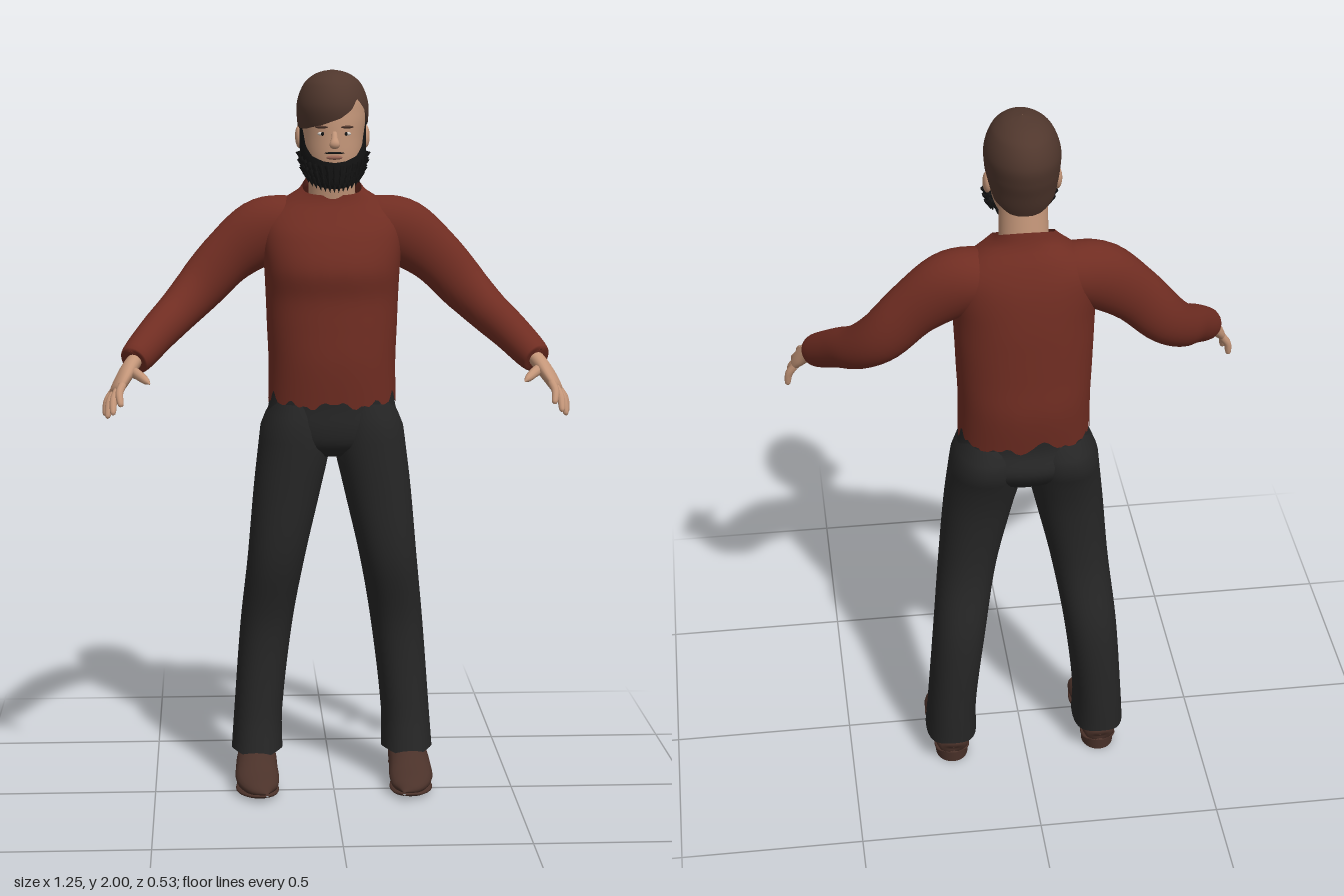
import * as THREE from 'three';

const mat = (name, color, open) => {
  const m = new THREE.MeshStandardMaterial({ color });
  m.name = name;
  if (open) m.side = THREE.DoubleSide;
  return m;
};
const V = (x, y, z) => new THREE.Vector3(x, y, z);

// Smooth interpolation of rows whose first entry is the key
function sample(rows, q) {
  const n = rows.length - 1;
  let k = 0;
  while (k < n - 1 && q > rows[k + 1][0]) k++;
  const h = rows[k + 1][0] - rows[k][0];
  const t = Math.min(1, Math.max(0, (q - rows[k][0]) / h));
  const slope = (i, c) => {
    const a = rows[Math.max(0, i - 1)], b = rows[Math.min(n, i + 1)];
    return (b[c] - a[c]) / (b[0] - a[0]);
  };
  return rows[0].map((_, c) => {
    const p = rows[k][c], d = rows[k + 1][c], t2 = t * t, t3 = t2 * t;
    return p * (2 * t3 - 3 * t2 + 1) + d * (3 * t2 - 2 * t3)
      + h * (slope(k, c) * (t3 - 2 * t2 + t) + slope(k + 1, c) * (t3 - t2));
  });
}

// Piecewise linear table of [degrees, height]
function table(list, deg) {
  const d = ((deg % 360) + 360) % 360;
  let k = 0;
  while (k < list.length - 2 && d > list[k + 1][0]) k++;
  const [a, b] = [list[k], list[k + 1]];
  return THREE.MathUtils.mapLinear(d, a[0], b[0], a[1], b[1]);
}

function grid(n, m, closed, point) {
  const pos = [], idx = [], w = closed ? m : m + 1;
  for (let i = 0; i <= n; i++) for (let j = 0; j < w; j++) pos.push(...point(i / n, j / m).toArray());
  for (let i = 0; i < n; i++) for (let j = 0; j < m; j++) {
    const j2 = (j + 1) % w, a = i * w + j, b = a + w, c = i * w + j2, d = c + w;
    idx.push(a, b, c, b, d, c);
  }
  const g = new THREE.BufferGeometry();
  g.setAttribute('position', new THREE.Float32BufferAttribute(pos, 3));
  g.setIndex(idx);
  g.computeVertexNormals();
  return g;
}

// Upright shell: rows [y, x, z, rx, rz]; lower and upper edges vary with the angle
function shell(rows, { lo, hi, from = 0, to = 360, n = 28, m = 48, power = 2, s = 1 } = {}) {
  const first = rows[0][0], last = rows[rows.length - 1][0];
  return grid(n, m, to - from === 360, (t, u) => {
    const deg = from + (to - from) * u, a = deg * Math.PI / 180;
    const y = THREE.MathUtils.lerp(lo ? lo(deg) : first, hi ? hi(deg) : last, t);
    const [, x, z, rx, rz] = sample(rows, y);
    const bend = v => Math.sign(v) * Math.abs(v) ** (2 / power);
    return V(s * x + rx * bend(Math.cos(a)), y, z + rz * bend(Math.sin(a)));
  });
}

// Limb along a path: points [x, y, z, r across, r along ref]
function limb(points, s = 1, ref = [0, 1, 0], n = 24, m = 20) {
  const rows = points.map((p, i) => [i, p[0] * s, ...p.slice(1)]), end = rows.length - 1;
  const at = q => V(...sample(rows, q).slice(1, 4));
  return grid(n, m, true, (t, u) => {
    const q = t * end, r = sample(rows, q), a = u * Math.PI * 2;
    const dir = at(Math.min(end, q + 0.05)).sub(at(Math.max(0, q - 0.05))).normalize();
    const across = dir.clone().cross(V(ref[0] * s, ref[1], ref[2])).normalize();
    const along = across.clone().cross(dir);
    return at(q).addScaledVector(across, r[4] * Math.cos(a)).addScaledVector(along, r[5] * Math.sin(a));
  });
}

export function createModel() {
  const root = new THREE.Group();
  const shirt = mat('rust shirt', 0x702d22, true), cloth = mat('charcoal cloth', 0x262626, true);
  const skin = mat('skin', 0xc49679), hair = mat('brown hair', 0x50372d, true);
  const beard = mat('black beard', 0x151515, true), leather = mat('brown leather', 0x4b322a);
  const white = mat('eye white', 0xd6cec6), lips = mat('lips', 0x9a6656);
  const add = (name, geo, m, parent = root) => {
    const mesh = new THREE.Mesh(geo, m);
    mesh.name = name;
    parent.add(mesh);
    return mesh;
  };
  const ball = (name, m, p, r) => {
    const b = add(name, new THREE.SphereGeometry(1, 20, 14), m);
    b.position.set(...p);
    b.scale.set(...r);
    return b;
  };

  // Shirt body with ragged hem and a collar higher at the back
  const notch = (d, at) => Math.max(0, 1 - Math.abs(((d - at + 540) % 360) - 180) / 9) * 0.045;
  add('shirtBody', shell([
    [1.06, 0, -0.115, 0.178, 0.125], [1.2, 0, -0.12, 0.176, 0.143], [1.3, 0, -0.12, 0.18, 0.142],
    [1.38, 0, -0.12, 0.183, 0.141], [1.46, 0, -0.114, 0.187, 0.145], [1.55, 0, -0.125, 0.195, 0.125],
    [1.6, 0, -0.135, 0.185, 0.103], [1.65, 0, -0.14, 0.13, 0.077], [1.68, 0, -0.13, 0.085, 0.068],
    [1.73, 0, -0.125, 0.072, 0.06]], {
    lo: d => 1.09 + 0.008 * Math.sin(d * 0.157) + 0.006 * Math.sin(d * 0.4014)
      + [25, 155, 195, 262, 345].reduce((sum, at) => sum + notch(d, at), 0),
    hi: d => 1.69 - 0.03 * Math.sin(d * Math.PI / 180), m: 90, n: 36, power: 2.25 }), shirt);

  // Trousers
  add('trouserSeat', shell([
    [0.94, 0, -0.12, 0.08, 0.07], [0.97, 0, -0.12, 0.16, 0.108], [1.02, 0, -0.128, 0.188, 0.13],
    [1.08, 0, -0.12, 0.176, 0.122], [1.16, 0, -0.12, 0.168, 0.128]], { n: 16, power: 2.2 }), cloth);
  for (const s of [1, -1]) {
    const side = s > 0 ? 'left' : 'right';
    add(side + 'TrouserLeg', shell([
      [0.09, 0.213, -0.13, 0.072, 0.102], [0.2, 0.209, -0.142, 0.068, 0.094],
      [0.45, 0.185, -0.145, 0.073, 0.09], [0.65, 0.157, -0.105, 0.08, 0.095],
      [0.85, 0.125, -0.105, 0.094, 0.105], [0.97, 0.105, -0.118, 0.1, 0.122],
      [1.03, 0.102, -0.129, 0.094, 0.133], [1.09, 0.095, -0.12, 0.07, 0.11]],
      { s, power: 2.2, lo: d => 0.09 + 0.006 * Math.sin(d * Math.PI / 60) }), cloth);

    // Shoe: upper, sole and heel
    add(side + 'ShoeUpper', limb([
      [0.213, 0.06, -0.208, 0.002, 0.002], [0.213, 0.063, -0.195, 0.035, 0.042],
      [0.214, 0.07, -0.12, 0.045, 0.054], [0.216, 0.06, -0.04, 0.04, 0.058],
      [0.214, 0.041, 0.03, 0.03, 0.06], [0.202, 0.03, 0.085, 0.02, 0.043],
      [0.19, 0.024, 0.115, 0.002, 0.004]], s, [1, 0, 0]), leather);
    add(side + 'ShoeSole', limb([
      [0.213, 0.032, -0.2, 0.006, 0.01], [0.213, 0.032, -0.17, 0.01, 0.048],
      [0.215, 0.025, -0.08, 0.01, 0.046], [0.215, 0.012, 0.02, 0.01, 0.06],
      [0.203, 0.013, 0.085, 0.009, 0.042], [0.19, 0.017, 0.115, 0.002, 0.004]], s, [1, 0, 0]), leather);
    const heel = add(side + 'ShoeHeel', new THREE.CylinderGeometry(1, 0.94, 0.035, 28), leather);
    heel.position.set(0.213 * s, 0.0175, -0.145);
    heel.scale.set(0.048, 1, 0.057);

    // Sleeve from the shoulder to the cuff
    add(side + 'Sleeve', limb([
      [0.07, 1.57, -0.145, 0.07, 0.07], [0.13, 1.572, -0.142, 0.077, 0.085],
      [0.2, 1.552, -0.137, 0.072, 0.092], [0.29, 1.486, -0.128, 0.058, 0.077],
      [0.37, 1.4, -0.11, 0.056, 0.069], [0.43, 1.34, -0.06, 0.054, 0.06],
      [0.48, 1.295, 0.015, 0.05, 0.054], [0.538, 1.236, 0.105, 0.042, 0.044],
      [0.541, 1.233, 0.11, 0.02, 0.02]], s, [0, 1, 0], 36, 28), shirt);

    // Hand: palm, four fingers and thumb
    const hand = new THREE.Group();
    hand.name = side + 'Hand';
    root.add(hand);
    add('palm', limb([
      [0.525, 1.25, 0.085, 0.02, 0.024], [0.55, 1.22, 0.13, 0.021, 0.028],
      [0.57, 1.19, 0.165, 0.019, 0.038], [0.586, 1.163, 0.19, 0.014, 0.037],
      [0.59, 1.156, 0.196, 0.002, 0.025]], s, [-0.4, 0.36, 0.85]), skin, hand);
    const tips = [[0.572, 1.13, 0.262], [0.594, 1.107, 0.253], [0.61, 1.092, 0.216], [0.618, 1.092, 0.17]];
    tips.forEach(([x, y, z], i) => {
      const k = 0.03 - i * 0.02, b = [0.582 - 0.4 * k, 1.17 + 0.36 * k, 0.184 + 0.85 * k];
      const mid = [(b[0] + x) / 2 + 0.006, (b[1] + y) / 2 + 0.006, (b[2] + z) / 2];
      const near = [x, y, z].map((v, c) => v + (mid[c] - v) * 0.2);
      add('finger', limb([[...b, 0.011, 0.011], [...mid, 0.0105, 0.0105], [...near, 0.008, 0.008],
        [x, y, z, 0.001, 0.001]], s, [-0.4, 0.36, 0.85], 14, 10), skin, hand);
    });
    add('thumb', limb([[0.55, 1.208, 0.135, 0.015, 0.015], [0.53, 1.204, 0.175, 0.014, 0.014],
      [0.508, 1.192, 0.208, 0.01, 0.01], [0.496, 1.184, 0.222, 0.001, 0.001]], s, [0, 1, 0], 14, 10), skin, hand);

    // Ear, eye and brow
    ball(side + 'Ear', skin, [0.09 * s, 1.82, -0.088], [0.012, 0.032, 0.02]).rotation.x = -0.2;
    ball(side + 'Eye', white, [0.032 * s, 1.831, 0.016], [0.013, 0.006, 0.008]);
    ball(side + 'Iris', beard, [0.031 * s, 1.831, 0.022], [0.005, 0.0055, 0.004]);
    ball(side + 'Brow', hair, [0.034 * s, 1.849, 0.02], [0.019, 0.004, 0.007]).rotation.y = 0.35 * s;
  }

  // Neck and head
  add('neck', shell([[1.6, 0, -0.125, 0.066, 0.055], [1.68, 0, -0.115, 0.064, 0.058],
    [1.78, 0, -0.1, 0.062, 0.062]], { n: 10 }), skin);
  add('head', shell([
    [1.69, 0, -0.02, 0.012, 0.015], [1.7, 0, -0.028, 0.045, 0.045], [1.73, 0, -0.04, 0.064, 0.066],
    [1.77, 0, -0.055, 0.076, 0.086], [1.82, 0, -0.075, 0.084, 0.106], [1.88, 0, -0.08, 0.088, 0.109],
    [1.94, 0, -0.08, 0.074, 0.1], [1.975, 0, -0.08, 0.03, 0.05], [1.985, 0, -0.08, 0.002, 0.002]]), skin);
  add('nose', limb([[0, 1.845, 0.022, 0.003, 0.006], [0, 1.82, 0.034, 0.008, 0.009],
    [0, 1.802, 0.041, 0.01, 0.014], [0, 1.793, 0.032, 0.002, 0.008]], 1, [1, 0, 0]), skin);
  ball('mouth', lips, [0, 1.768, 0.029], [0.022, 0.006, 0.006]);

  // Hair swept across the forehead to its right
  const hairline = [[0, 1.855], [25, 1.88], [50, 1.925], [62, 1.895], [80, 1.873], [110, 1.855], [145, 1.843],
    [165, 1.845], [188, 1.85], [202, 1.79], [235, 1.76], [270, 1.75], [305, 1.76], [338, 1.79], [352, 1.85], [360, 1.855]];
  add('hair', shell([
    [1.74, 0, -0.1, 0.062, 0.057], [1.78, 0, -0.095, 0.08, 0.082], [1.82, 0, -0.086, 0.09, 0.107],
    [1.86, 0, -0.083, 0.096, 0.125], [1.91, 0, -0.084, 0.097, 0.132], [1.96, 0, -0.085, 0.079, 0.111],
    [1.985, 0, -0.085, 0.053, 0.076], [1.996, 0, -0.085, 0.026, 0.04], [2, 0, -0.085, 0.001, 0.001]], {
    lo: d => table(hairline, d), m: 96, n: 40 }), hair);

  // Full beard with sideburns and ragged tufts
  const beardRows = [
    [1.675, 0, -0.025, 0.04, 0.04], [1.69, 0, -0.03, 0.06, 0.06], [1.72, 0, -0.04, 0.077, 0.077],
    [1.77, 0, -0.052, 0.089, 0.092], [1.82, 0, -0.068, 0.09, 0.104], [1.87, 0, -0.075, 0.092, 0.11]];
  const beardTop = [[0, 1.862], [20, 1.858], [32, 1.80], [48, 1.772], [70, 1.758], [90, 1.754], [360, 1.754]];
  const fold = d => (d > 90 ? 180 - d : d);
  const beardLow = d => 1.735 - 0.052 * Math.sqrt(Math.max(0, Math.sin(Math.max(0, fold(d)) * Math.PI / 180)));
  add('beard', shell(beardRows, { from: -4, to: 184, m: 64, n: 16,
    lo: beardLow, hi: d => table(beardTop, Math.max(0, fold(d))) }), beard);
  ball('beardUnderside', beard, [0, 1.705, -0.028], [0.062, 0.022, 0.056]);
  for (let i = 0; i < 45; i++) {
    const d = 4 + (i % 15) * 12.3, y = beardLow(d) + 0.005 + Math.floor(i / 15) * 0.02;
    const [, , z, rx, rz] = sample(beardRows, y), a = d * Math.PI / 180;
    const tuft = add('beardTuft', new THREE.ConeGeometry(0.011, 0.032, 6), beard);
    tuft.position.set(rx * Math.cos(a), y, z + rz * Math.sin(a) * 0.97);
    tuft.rotation.set(Math.PI - 0.3 * Math.sin(a), 0, 0.3 * Math.cos(a));
  }
  ball('moustache', beard, [0, 1.78, 0.03], [0.027, 0.003, 0.006]);
  return root;
}
